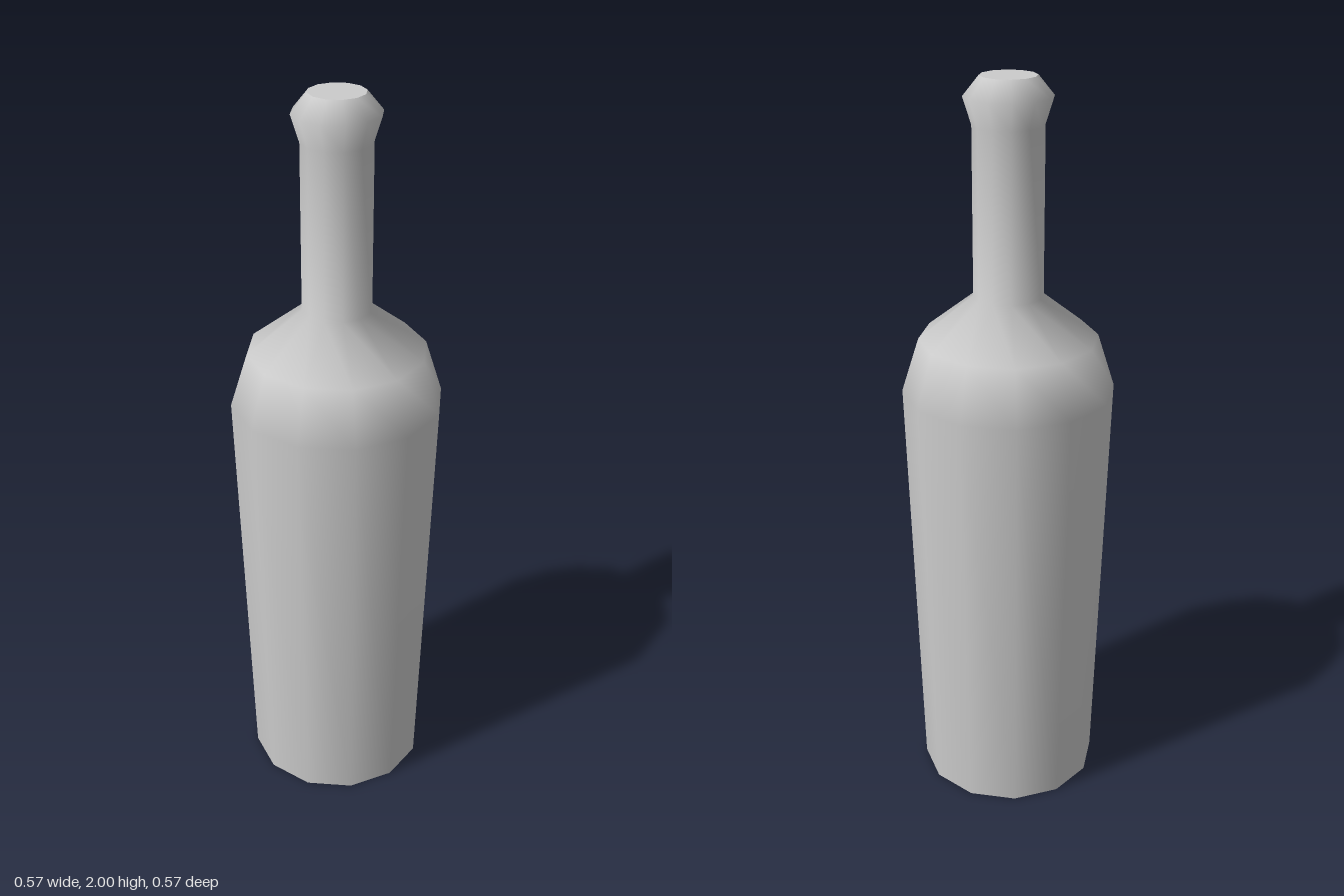
import * as THREE from 'three';

const SIDES = 12;

export function createModel() {
  const group = new THREE.Group();
  group.name = 'bottle';
  const material = new THREE.MeshStandardMaterial({ color: 0xcccccc });

  const add = (name, geometry, y = 0) => {
    const mesh = new THREE.Mesh(geometry, material);
    mesh.name = name;
    mesh.position.y = y;
    group.add(mesh);
  };

  // Outer wall: tapered body, sloping shoulder, straight neck and flared lip
  const profile = [
    [0.248, 0], [0.284, 1.18], [0.238, 1.325], [0.092, 1.44],
    [0.092, 1.88], [0.114, 1.95], [0.073, 2],
  ].map(([r, y]) => new THREE.Vector2(r, y));
  add('bottleWall', new THREE.LatheGeometry(profile, SIDES));

  // Flat discs closing the mouth and the base
  add('mouthCap', new THREE.CircleGeometry(0.073, SIDES).rotateX(-Math.PI / 2), 2);
  add('base', new THREE.CircleGeometry(0.248, SIDES).rotateX(Math.PI / 2));

  return group;
}
